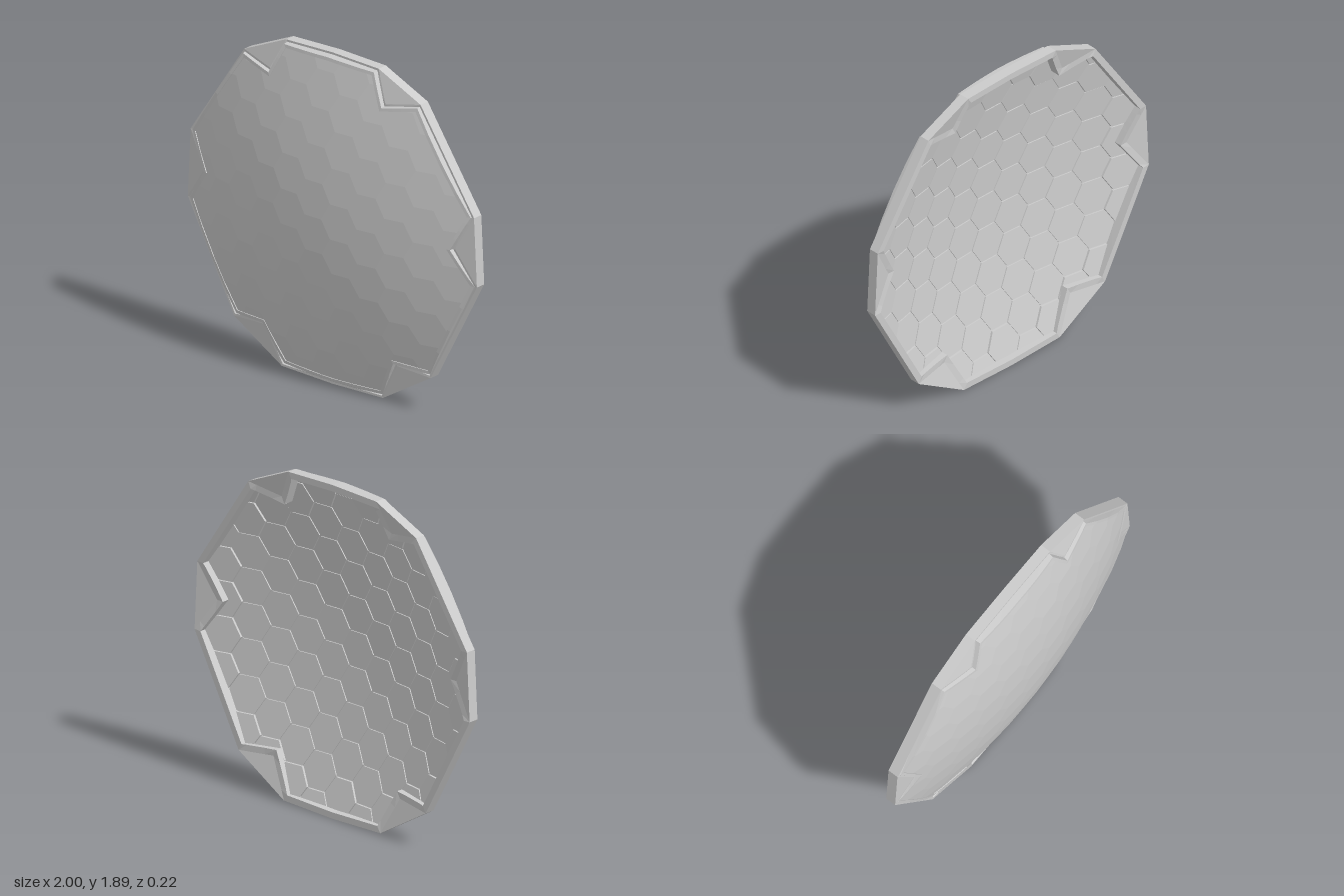
import * as THREE from 'three';

const CY = 1.0;        // height of the dome axis
const APEX = 0.11;     // dome front
const K = 0.165;       // dome curvature
const SIDE = 0.2 / Math.sqrt(3); // hexagon side, 0.2 from flat to flat
const domeZ = (x, y) => APEX - K * (x * x + (y - CY) ** 2);

const material = new THREE.MeshStandardMaterial({ color: 0xcccccc, flatShading: true, side: THREE.DoubleSide });

function makeMesh(name, positions) {
  const geometry = new THREE.BufferGeometry();
  geometry.setAttribute('position', new THREE.Float32BufferAttribute(positions, 3));
  geometry.computeVertexNormals();
  const mesh = new THREE.Mesh(geometry, material);
  mesh.name = name;
  return mesh;
}
const tri = (out, a, b, c) => out.push(...a, ...b, ...c);
const quad = (out, a, b, c, d) => { tri(out, a, b, c); tri(out, a, c, d); };

// Notched outline, anticlockwise from the bottom; third value marks a notch point
function makeOutline() {
  const half = [
    [0.35, 0.01], [0.46, 0.225, 1], [0.68, 0.21], [1.0, 0.81], [0.87, 1.0, 1],
    [0.98, 1.2], [0.61, 1.75], [0.40, 1.71, 1], [0.32, 1.88],
  ];
  const mirrored = half.map(([x, y, n]) => [-x, y, n]).reverse();
  return [[0, 0], ...half, [0, 1.89], ...mirrored].map(([x, y, n]) => ({
    x, y, notch: !!n,
    front: n ? domeZ(x, y) - 0.012 : -0.05,
    back: n ? -0.075 : -0.11,
  }));
}

function subdivide(points, n) {
  const out = [];
  points.forEach((p, i) => {
    const q = points[(i + 1) % points.length];
    for (let j = 0; j < n; j++) {
      const mix = (key) => p[key] + (q[key] - p[key]) * j / n;
      out.push({ x: mix('x'), y: mix('y'), front: mix('front'), back: mix('back') });
    }
  });
  return out;
}

// Mitred inward offset of an anticlockwise outline
function inset(points, d) {
  const n = points.length;
  const normal = (a, b) => {
    const l = Math.hypot(b.x - a.x, b.y - a.y);
    return [-(b.y - a.y) / l, (b.x - a.x) / l];
  };
  return points.map((p, i) => {
    const a = normal(points[(i + n - 1) % n], p), b = normal(p, points[(i + 1) % n]);
    const s = d / (1 + a[0] * b[0] + a[1] * b[1]);
    return { ...p, x: p.x + (a[0] + b[0]) * s, y: p.y + (a[1] + b[1]) * s };
  });
}

// Clip any polygon by a convex anticlockwise one
function clip(subject, clipper) {
  let poly = subject;
  clipper.forEach((a, i) => {
    const b = clipper[(i + 1) % clipper.length];
    const side = (p) => (b.x - a.x) * (p.y - a.y) - (b.y - a.y) * (p.x - a.x);
    const next = [];
    poly.forEach((p, j) => {
      const q = poly[(j + 1) % poly.length];
      const sp = side(p), sq = side(q);
      if (sp >= 0) next.push(p);
      if ((sp >= 0) !== (sq >= 0)) {
        const t = sp / (sp - sq);
        next.push({ x: p.x + (q.x - p.x) * t, y: p.y + (q.y - p.y) * t });
      }
    });
    poly = next;
  });
  return poly.filter((p, i) => {
    const q = poly[(i + 1) % poly.length];
    return Math.hypot(p.x - q.x, p.y - q.y) > 1e-5;
  });
}

// Solid plate between two height functions
function addPlate(out, poly, frontZ, backZ) {
  const contour = poly.map((p) => new THREE.Vector2(p.x, p.y));
  const F = poly.map((p) => [p.x, p.y, frontZ(p)]);
  const B = poly.map((p) => [p.x, p.y, backZ(p)]);
  for (let [a, b, c] of THREE.ShapeUtils.triangulateShape(contour, [])) {
    const area = THREE.ShapeUtils.area([contour[a], contour[b], contour[c]]);
    if (area < 0) [b, c] = [c, b];
    tri(out, F[a], F[b], F[c]);
    tri(out, B[a], B[c], B[b]);
  }
  poly.forEach((_, i) => {
    const j = (i + 1) % poly.length;
    quad(out, F[i], B[i], B[j], F[j]);
  });
}

// Faceted dome of flat hexagons, with separate tiles on the inside
function makeDome(outline) {
  const border = inset(outline, 0.025);
  const skin = [], tiles = [];
  for (let col = -7; col <= 7; col++) {
    for (let row = -7; row <= 7; row++) {
      const cx = col * SIDE * 1.5, cy = CY + 0.1 + row * 0.2 + (col & 1 ? 0.1 : 0);
      const hex = Array.from({ length: 6 }, (_, i) => ({
        x: cx + SIDE * Math.cos(i * Math.PI / 3), y: cy + SIDE * Math.sin(i * Math.PI / 3),
      }));
      const cell = clip(border, hex);
      if (cell.length < 3 || Math.abs(THREE.ShapeUtils.area(cell)) < 1e-5) continue;
      // plane of this hexagon
      const z = (p) => domeZ(cx, cy) - K * (2 * cx * (p.x - cx) + 2 * (cy - CY) * (p.y - cy) + SIDE * SIDE);
      addPlate(skin, cell, z, (p) => z(p) - 0.012);
      const mx = cell.reduce((s, p) => s + p.x, 0) / cell.length;
      const my = cell.reduce((s, p) => s + p.y, 0) / cell.length;
      const tile = cell.map((p) => ({ x: mx + (p.x - mx) * 0.965, y: my + (p.y - my) * 0.965 }));
      const full = Math.abs(THREE.ShapeUtils.area(cell)) > 0.034;
      addPlate(tiles, tile, (p) => z(p) - 0.012, (p) => z(p) - (full ? 0.018 : 0.024));
    }
  }
  return [makeMesh('domeSkin', skin), makeMesh('innerTiles', tiles)];
}

// Stepped rim that follows the notched outline
function makeRim(outline) {
  const path = subdivide(outline, 4);
  const ring = (d, z) => inset(path, d).map((p) => [p.x, p.y, z(p)]);
  const rings = [
    ring(0, (p) => p.back),
    ring(0, (p) => p.front),
    ring(0.012, (p) => p.front),
    ring(0.016, (p) => domeZ(p.x, p.y) + 0.006),
    ring(0.034, (p) => domeZ(p.x, p.y) + 0.004),
    ring(0.036, (p) => p.back),
  ];
  const out = [];
  rings.forEach((r, k) => {
    const s = rings[(k + 1) % rings.length];
    r.forEach((_, i) => {
      const j = (i + 1) % r.length;
      quad(out, r[i], r[j], s[j], s[i]);
    });
  });
  return makeMesh('rim', out);
}

// Sloped wedges that fill the notches out to the corner edges
function makeCornerWedges(outline) {
  const out = [];
  outline.forEach((p, i) => {
    if (!p.notch) return;
    const corners = [outline[i - 1], outline[i + 1], p];
    const F = corners.map((c) => [c.x, c.y, c.front]);
    const B = corners.map((c) => [c.x, c.y, c.back]);
    tri(out, F[0], F[1], F[2]);
    tri(out, B[0], B[2], B[1]);
    quad(out, F[0], B[0], B[1], F[1]);
  });
  return makeMesh('cornerWedges', out);
}

export function createModel() {
  const group = new THREE.Group();
  group.name = 'domedHexPanel';
  const outline = makeOutline();
  group.add(...makeDome(outline), makeRim(outline), makeCornerWedges(outline));
  return group;
}
